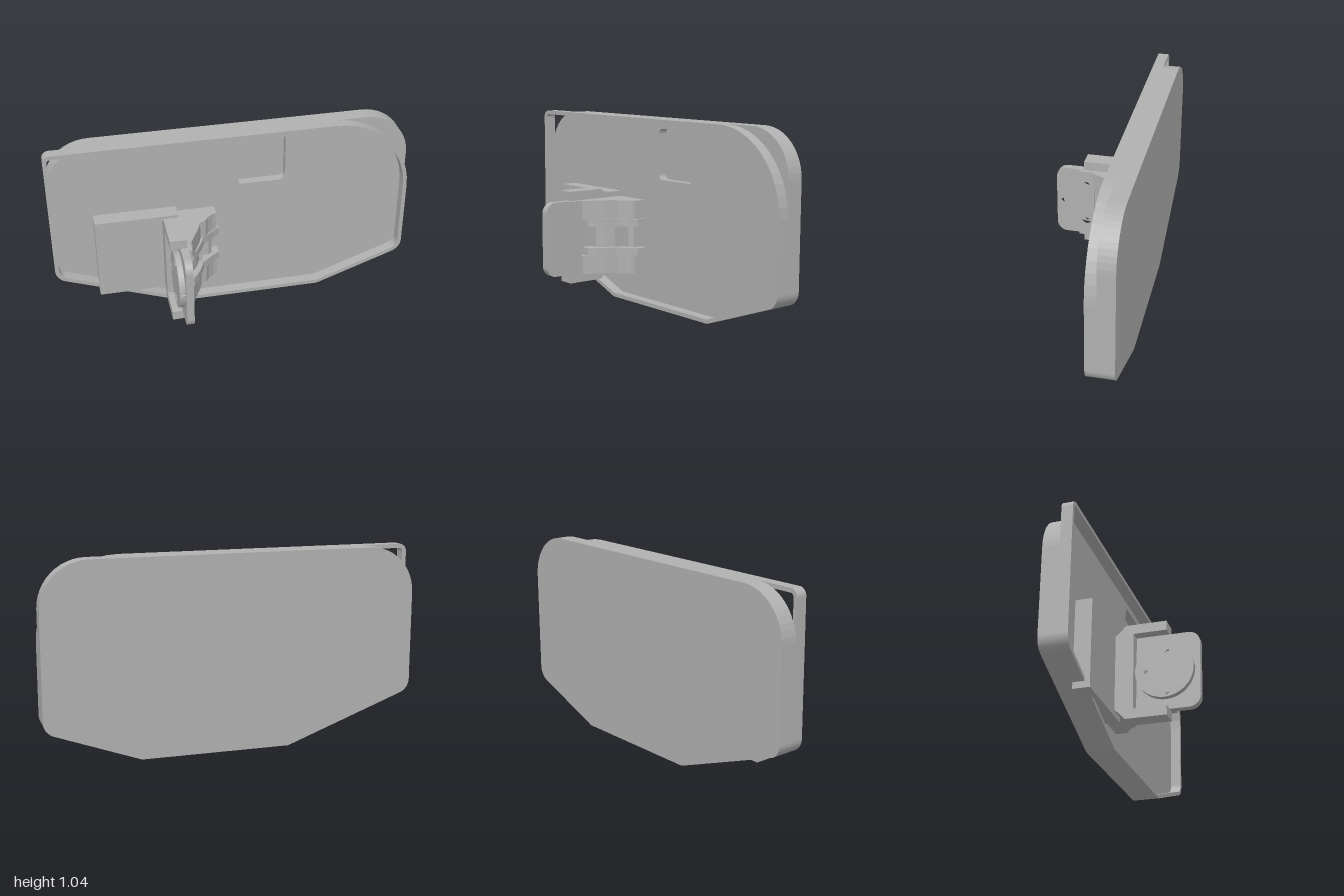
import * as THREE from 'three';

// Polygon [x, y, radius] with true arc corners, as 2D points
function roundedPoints(corners, segments = 12) {
  const out = [];
  corners.forEach(([x, y, r], i) => {
    const p = new THREE.Vector2(x, y);
    if (!r) { out.push(p); return; }
    const n = corners.length;
    const [px, py] = corners[(i + n - 1) % n];
    const [nx, ny] = corners[(i + 1) % n];
    const a = new THREE.Vector2(px - x, py - y).normalize();
    const b = new THREE.Vector2(nx - x, ny - y).normalize();
    const half = Math.acos(a.dot(b)) / 2;
    const d = r / Math.tan(half);
    const c = a.clone().add(b).normalize().multiplyScalar(r / Math.sin(half)).add(p);
    const start = a.clone().multiplyScalar(d).add(p).sub(c);
    const end = b.clone().multiplyScalar(d).add(p).sub(c);
    const a0 = Math.atan2(start.y, start.x);
    let sweep = Math.atan2(end.y, end.x) - a0;
    if (sweep > Math.PI) sweep -= 2 * Math.PI;
    if (sweep < -Math.PI) sweep += 2 * Math.PI;
    for (let k = 0; k <= segments; k++) {
      const t = a0 + sweep * k / segments;
      out.push(new THREE.Vector2(c.x + r * Math.cos(t), c.y + r * Math.sin(t)));
    }
  });
  return out;
}

// Housing outline, inset by t, with the two upper corner radii
const outline = (t, leftRadius, rightRadius) => roundedPoints([
  [-1 + t, 1.045 - t, leftRadius],
  [-1 + t, 0.26 + 0.7 * t, 0.08 - t],
  [-0.3 + 0.18 * t, t, 0],
  [0.5 - 0.18 * t, t, 0],
  [1 - t, 0.183 + 0.7 * t, 0.08 - t],
  [1 - t, 1.045 - t, rightRadius],
]);

const rect = (x0, x1, y0, y1, r) =>
  roundedPoints([[x0, y0, r], [x1, y0, r], [x1, y1, r], [x0, y1, r]], 6);

function extrude(points, holes, depth) {
  const shape = new THREE.Shape(points);
  holes.forEach((h) => shape.holes.push(new THREE.Path(h)));
  return new THREE.ExtrudeGeometry(shape, { depth, bevelEnabled: false });
}

// Extrusions along each axis between two coordinates
const alongZ = (points, z0, z1, holes = []) =>
  extrude(points, holes, z1 - z0).translate(0, 0, z0);
const alongX = (zy, x0, x1, holes = []) => {
  const flip = (list) => list.map((p) => new THREE.Vector2(-p.x, p.y));
  return extrude(flip(zy), holes.map(flip), x1 - x0).rotateY(Math.PI / 2).translate(x0, 0, 0);
};
const alongY = (xz, y0, y1) =>
  extrude(xz.map(([x, z]) => new THREE.Vector2(x, -z)), [], y1 - y0)
    .rotateX(-Math.PI / 2).translate(0, y0, 0);

// Circular screw hole with a point towards +z
function teardrop(z, y, r = 0.024) {
  const pts = [new THREE.Vector2(z + r * 1.5, y)];
  for (let k = 0; k <= 16; k++) {
    const t = Math.PI / 4 + (k / 16) * Math.PI * 1.5;
    pts.push(new THREE.Vector2(z + r * Math.cos(t), y + r * Math.sin(t)));
  }
  return pts;
}

export function createModel() {
  const group = new THREE.Group();
  const grey = new THREE.MeshStandardMaterial({ color: 0xb0b0b0 });
  grey.name = 'grey';
  const add = (name, geometry) => {
    const mesh = new THREE.Mesh(geometry, grey);
    mesh.name = name;
    group.add(mesh);
  };
  const MID = 0.375;

  // Housing: closed back, pocketed panel and raised rim with different upper corners
  const body = outline(0, 0.25, 0.25);
  add('backPanel', alongZ(body, -0.305, -0.265));
  add('frontPanel', alongZ(body, -0.265, -0.215, [rect(0.03, 0.305, 0.71, 0.99, 0.03)]));
  add('rim', alongZ(outline(0, 0.04, 0.43), -0.215, -0.155, [outline(0.022, 0.02, 0.408)]));

  // Mounting pad and bracket foot
  add('mountingPad', alongZ(rect(-0.765, -0.31, 0.138, 0.613, 0), -0.215, -0.127));
  add('bracketFoot', alongZ(rect(-0.4, -0.305, 0.167, 0.583, 0), -0.215, -0.03));

  // Screw holes on a circle around the round boss
  const holes = [[0.245, MID], [0.13, 0.493], [0.13, 0.257], [0.008, MID]]
    .map(([z, y]) => teardrop(z, y));

  // Upright tab with rounded outer corners
  add('tab', alongX(roundedPoints([
    [-0.215, 0.167, 0], [0.305, 0.167, 0.06], [0.305, 0.583, 0.06], [-0.215, 0.583, 0],
  ], 8), -0.345, -0.305, holes));

  // Round boss behind the tab
  const disc = [];
  for (let k = 0; k < 48; k++) {
    const t = (k / 48) * Math.PI * 2;
    disc.push(new THREE.Vector2(0.125 + 0.153 * Math.cos(t), MID + 0.153 * Math.sin(t)));
  }
  add('roundBoss', alongX(disc, -0.376, -0.345, holes));

  // Chamfered side arms, mirrored about the bracket centre
  for (const s of [1, -1]) {
    const arm = [[-0.125, 0.208], [0.145, 0.208], [0.145, 0.26], [-0.07, 0.26], [-0.12, 0.21]]
      .map(([z, y]) => new THREE.Vector2(z, MID + s * y));
    add(s > 0 ? 'upperArm' : 'lowerArm', alongX(arm, -0.4, -0.307));
  }

  // Screw flange on the face of the tab
  add('screwFlange', alongX(rect(0.085, 0.17, 0.167, 0.583, 0), -0.306, -0.285, holes.slice(1, 3)));

  // Stepped gusset: two outer webs, two knuckles and a recessed centre
  const web = [
    [-0.306, -0.215], [-0.306, 0.085], [-0.272, 0.085], [-0.24, 0.02], [-0.215, -0.03],
    [-0.2, -0.075], [-0.17, -0.085], [-0.15, -0.115], [-0.12, -0.14], [-0.097, -0.15], [-0.097, -0.215],
  ];
  const knuckle = [
    [-0.306, -0.215], [-0.306, 0.06], [-0.262, 0.06], [-0.23, 0.02], [-0.2, -0.035],
    [-0.185, -0.077], [-0.16, -0.095], [-0.12, -0.13], [-0.083, -0.155], [-0.083, -0.215],
  ];
  const centre = [
    [-0.306, -0.215], [-0.306, 0], [-0.262, 0], [-0.23, -0.04], [-0.21, -0.09],
    [-0.19, -0.09], [-0.19, -0.14], [-0.145, -0.14], [-0.125, -0.16], [-0.125, -0.215],
  ];
  for (const s of [1, -1]) {
    const side = s > 0 ? 'upper' : 'lower';
    const span = (profile, a, b) =>
      alongY(profile, Math.min(MID + s * a, MID + s * b), Math.max(MID + s * a, MID + s * b));
    add(side + 'Web', span(web, 0.104, 0.208));
    add(side + 'Knuckle', span(knuckle, 0.06, 0.104));
  }
  add('gussetCentre', alongY(centre, MID - 0.06, MID + 0.06));

  return group;
}
